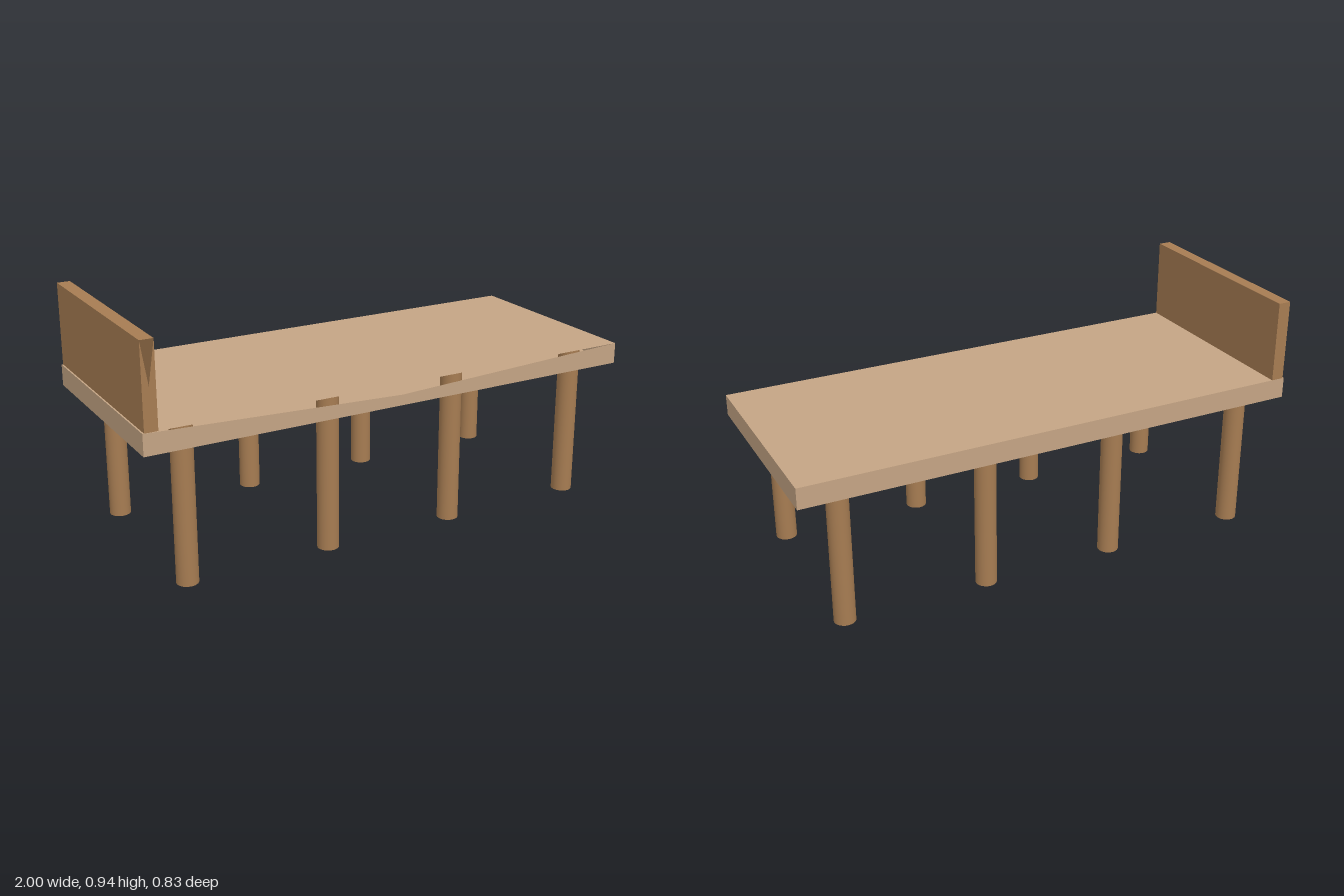
import * as THREE from 'three';

const DEPTH = 0.832;

// Box panel whose front end is a fan about its centre, open in the top wedge
function panelGeometry(width, height) {
  const box = new THREE.BoxGeometry(width, height, DEPTH);
  const pos = [...box.attributes.position.array, 0, 0, DEPTH / 2];
  const nor = [...box.attributes.normal.array, 0, 0, 1];
  const idx = [...box.index.array];
  // corners of the front end: 16 top left, 17 top right, 18 bottom left, 19 bottom right
  idx.splice(24, 6, 16, 18, 24, 18, 19, 24, 19, 17, 24);
  const geo = new THREE.BufferGeometry();
  geo.setAttribute('position', new THREE.Float32BufferAttribute(pos, 3));
  geo.setAttribute('normal', new THREE.Float32BufferAttribute(nor, 3));
  geo.setIndex(idx);
  return geo;
}

export function createModel() {
  const group = new THREE.Group();
  const lightWood = new THREE.MeshStandardMaterial({ color: 0xc4a484, side: THREE.DoubleSide });
  const darkWood = new THREE.MeshStandardMaterial({ color: 0xa67c52, side: THREE.DoubleSide });

  const add = (name, geometry, material, x, y, z) => {
    const mesh = new THREE.Mesh(geometry, material);
    mesh.name = name;
    mesh.position.set(x, y, z);
    group.add(mesh);
  };

  // Platform and upright headboard at one end
  add('platform', panelGeometry(2, 0.082), lightWood, 0, 0.576, 0);
  add('headboard', panelGeometry(0.05, 0.318), darkWood, -0.969, 0.776, 0);

  // Four pairs of round legs, reaching up inside the platform
  const legHeight = 0.605;
  const legGeo = new THREE.CylinderGeometry(0.041, 0.041, legHeight, 24);
  for (const x of [-0.833, -0.267, 0.267, 0.833]) {
    for (const z of [-0.335, 0.335]) add('leg', legGeo, darkWood, x, legHeight / 2, z);
  }
  return group;
}
